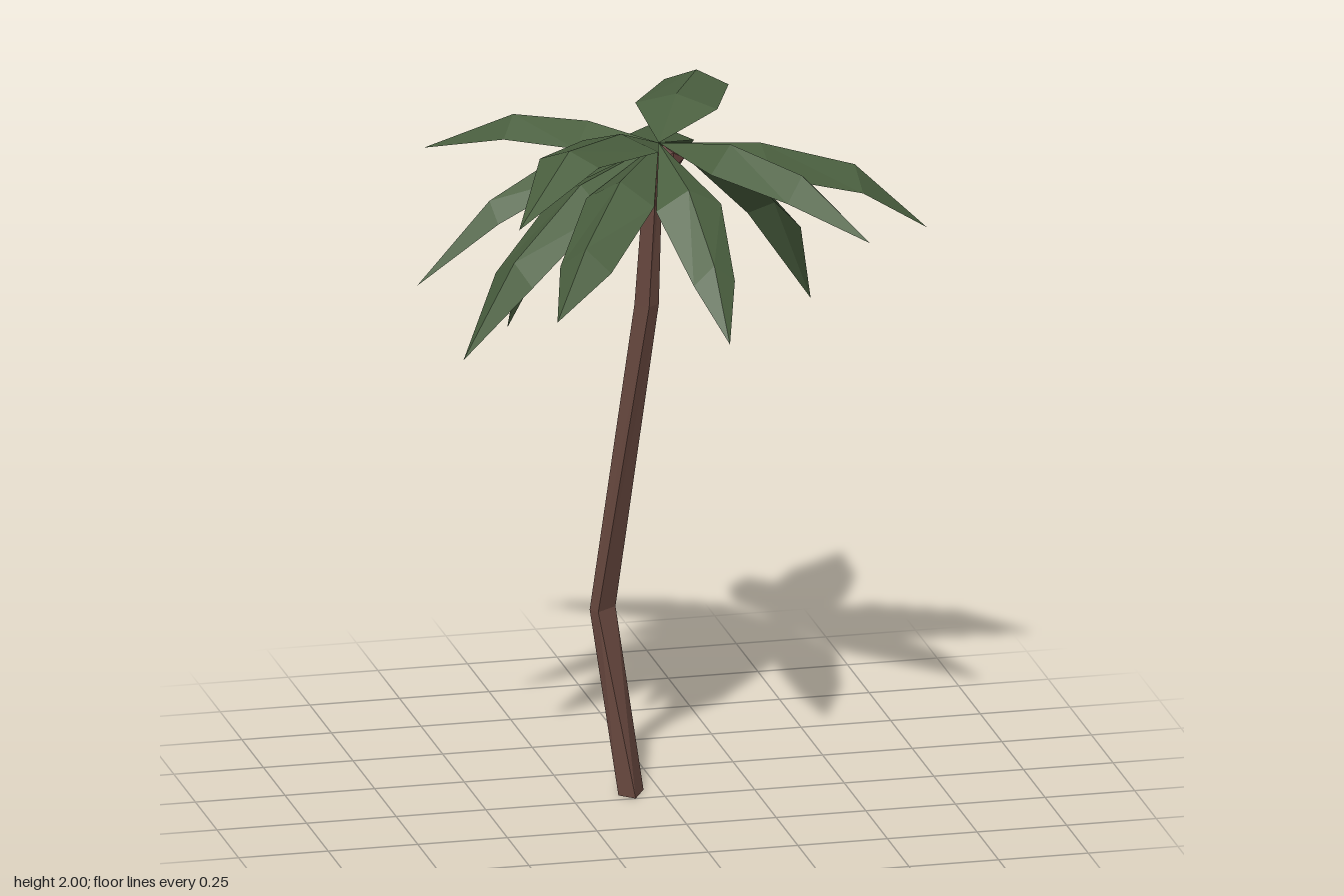
import * as THREE from 'three';

const bark = new THREE.MeshStandardMaterial({ name: 'bark brown', color: 0x68483f });
const leaf = new THREE.MeshStandardMaterial({ name: 'leaf green', color: 0x4a5f3f, side: THREE.DoubleSide });
const husk = new THREE.MeshStandardMaterial({ name: 'husk brown', color: 0x603e38 });

const CROWN = new THREE.Vector3(-0.02, 1.87, 0.01);

// Facets a geometry: every triangle gets its own normal
function faceted(geometry) {
  const g = geometry.index ? geometry.toNonIndexed() : geometry;
  g.computeVertexNormals();
  return g;
}

function addMesh(group, name, geometry, material) {
  const mesh = new THREE.Mesh(faceted(geometry), material);
  mesh.name = name;
  group.add(mesh);
  return mesh;
}

// Three-sided trunk: each ring is a height and its front, right-back and left corners [x, z]
function trunkGeometry() {
  const rings = [
    [0, [-0.082, 0], [-0.043, -0.071], [-0.121, -0.038]],
    [0.51, [-0.165, -0.088], [-0.107, -0.13], [-0.182, -0.117]],
    [1.4, [-0.045, 0.003], [-0.012, -0.022], [-0.078, -0.031]],
    [1.86, [-0.025, 0.022], [-0.005, 0], [-0.05, -0.005]],
  ];
  const points = rings.flatMap(([y, ...corners]) => corners.map(([x, z]) => new THREE.Vector3(x, y, z)));
  const index = [0, 2, 1, 9, 10, 11];
  for (let r = 0; r < 9; r += 3) {
    for (let i = 0; i < 3; i++) {
      const a = r + i, b = r + (i + 1) % 3;
      index.push(a, b, b + 3, a, b + 3, a + 3);
    }
  }
  const g = new THREE.BufferGeometry().setFromPoints(points);
  g.setIndex(index);
  return g;
}

// Folded leaf: crown point, two ridged sections, then the tip
function frondGeometry({ tip, mid, w, t, drop = 0.05 }) {
  const end = new THREE.Vector3(...tip);
  const side = new THREE.Vector3(-(end.z - CROWN.z), 0, end.x - CROWN.x).normalize();
  const points = [CROWN.clone()];
  t.forEach((f, i) => {
    const ridge = CROWN.clone().lerp(end, f).setY(mid[i]);
    for (const s of [-1, 0, 1]) {
      const q = ridge.clone().addScaledVector(side, s * w[i] / 2);
      if (s) q.y -= drop;
      points.push(q);
    }
  });
  points.push(end);
  const g = new THREE.BufferGeometry().setFromPoints(points);
  g.setIndex([
    0, 2, 1, 0, 3, 2,
    1, 2, 5, 1, 5, 4, 2, 3, 6, 2, 6, 5,
    4, 5, 7, 5, 6, 7,
  ]);
  return g;
}

export function createModel() {
  const tree = new THREE.Group();
  tree.name = 'palmTree';
  addMesh(tree, 'trunk', trunkGeometry(), bark);

  // Leaves: tip, then ridge heights, widths and places along the leaf of two sections
  const fronds = [
    { tip: [0.10, 1.54, -0.64], mid: [1.84, 1.70], w: [0.22, 0.15], t: [0.4, 0.76] },
    { tip: [0.30, 1.81, -0.59], mid: [1.95, 1.95], w: [0.23, 0.18], t: [0.28, 0.6], drop: 0.035 },
    { tip: [0.493, 1.27, -0.36], mid: [1.79, 1.58], w: [0.24, 0.19], t: [0.4, 0.76] },
    { tip: [0.726, 1.575, 0.022], mid: [1.85, 1.77], w: [0.32, 0.21], t: [0.38, 0.73] },
    { tip: [0.453, 1.70, 0.49], mid: [1.905, 1.855], w: [0.2, 0.15], t: [0.34, 0.68], drop: 0.06 },
    { tip: [0.056, 1.45, 0.52], mid: [1.80, 1.64], w: [0.19, 0.12], t: [0.42, 0.78] },
    { tip: [-0.56, 1.86, 0.635], mid: [1.96, 2.0], w: [0.23, 0.18], t: [0.27, 0.64], drop: 0.035 },
    { tip: [-0.44, 1.57, 0.58], mid: [1.84, 1.72], w: [0.2, 0.15], t: [0.38, 0.72], drop: 0.06 },
    { tip: [-0.625, 1.375, 0.26], mid: [1.80, 1.62], w: [0.22, 0.17], t: [0.4, 0.74] },
    { tip: [-0.725, 1.555, 0.135], mid: [1.89, 1.77], w: [0.18, 0.12], t: [0.36, 0.7] },
    { tip: [-0.585, 1.78, -0.365], mid: [1.91, 1.905], w: [0.2, 0.15], t: [0.3, 0.62] },
    { tip: [-0.35, 1.245, -0.375], mid: [1.78, 1.57], w: [0.23, 0.18], t: [0.4, 0.78] },
  ];
  const crown = new THREE.Group();
  crown.name = 'crown';
  tree.add(crown);
  fronds.forEach((f, i) => addMesh(crown, `frond${i + 1}`, frondGeometry(f), leaf));

  // Nuts tucked under the leaves
  const nuts = [[-0.095, 1.775, -0.07], [-0.025, 1.79, -0.055], [0.015, 1.825, 0]];
  nuts.forEach((at, i) => {
    addMesh(tree, `nut${i + 1}`, new THREE.IcosahedronGeometry(0.04, 0), husk).position.set(...at);
  });
  return tree;
}
